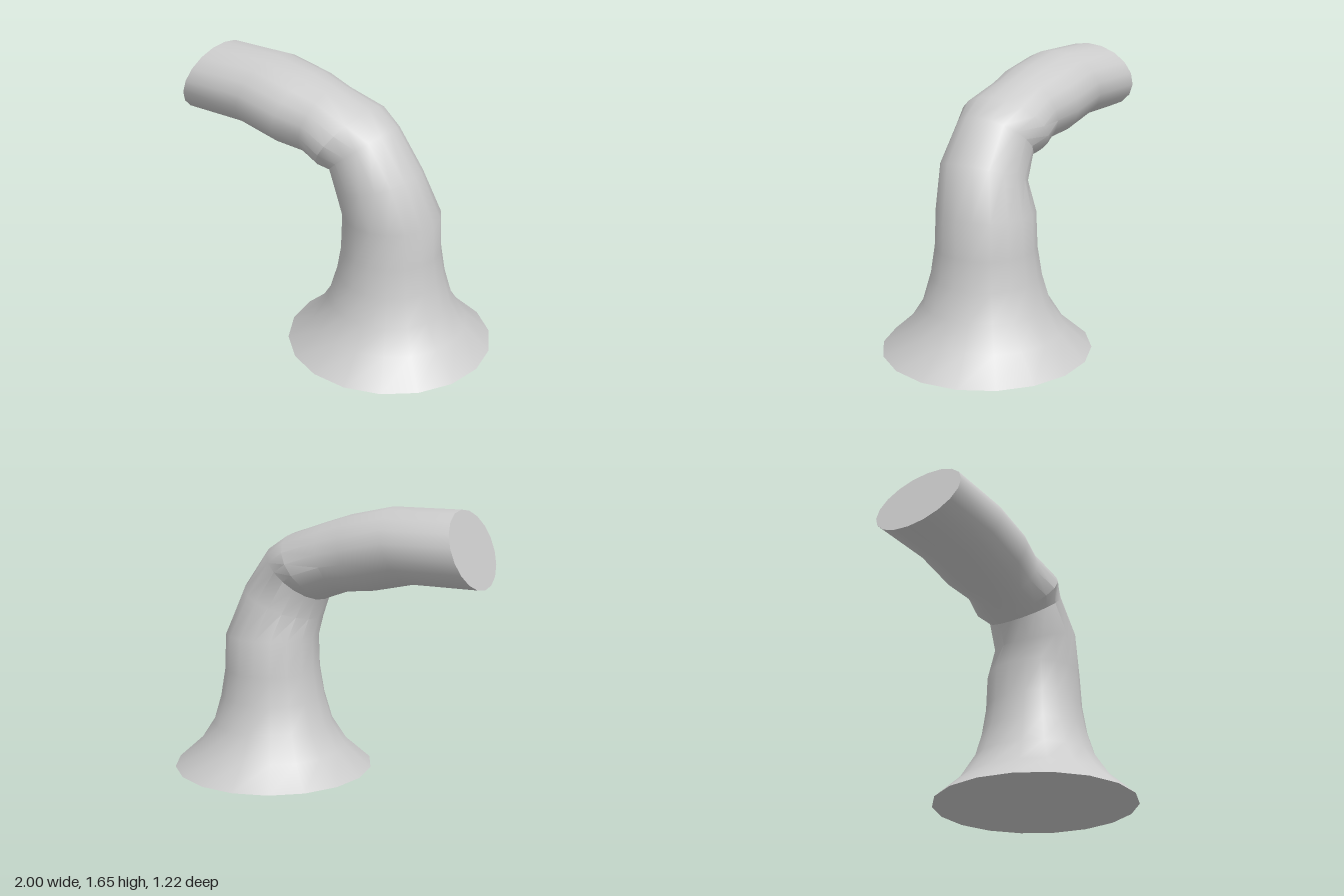
import * as THREE from 'three';
import { toCreasedNormals } from 'three/addons/utils/BufferGeometryUtils.js';

const SIDES = 18;

// Each section: inner edge x, y; outer edge x, y; centre z; half depth in z
const SECTIONS = [
  // flared foot
  [-0.245, 0, 0.995, 0, 0, 0.62],
  [-0.09, 0.135, 0.84, 0.14, 0, 0.467],
  [0, 0.28, 0.75, 0.28, 0, 0.375],
  [0.05, 0.45, 0.7, 0.45, 0, 0.325],
  [0.08, 0.62, 0.67, 0.62, 0, 0.3],
  [0.085, 0.83, 0.662, 0.84, 0, 0.29],
  // elbow
  [0.075, 0.95, 0.56, 1.13, 0.05, 0.257],
  [0.03, 1.07, 0.385, 1.37, 0.048, 0.24],
  [-0.02, 1.09, 0.24, 1.46, 0.047, 0.29],
  [-0.13, 1.13, 0, 1.54, 0.047, 0.256],
  // spout, cut at a slant
  [-0.31, 1.15, -0.16, 1.59, 0.047, 0.29],
  [-0.58, 1.21, -0.43, 1.647, 0.047, 0.29],
  [-1, 1.21, -0.845, 1.647, 0.047, 0.29],
];

// Loft elliptical rings through the sections and close both ends
function loft(sections) {
  const positions = [];
  const index = [];
  for (const [ix, iy, ox, oy, cz, depth] of sections) {
    for (let j = 0; j < SIDES; j++) {
      const angle = (j / SIDES) * Math.PI * 2;
      const t = (1 + Math.cos(angle)) / 2;
      positions.push(ix + (ox - ix) * t, iy + (oy - iy) * t, cz + depth * Math.sin(angle));
    }
  }
  const last = (sections.length - 1) * SIDES;
  for (let i = 0; i < last; i += SIDES) {
    for (let j = 0; j < SIDES; j++) {
      const k = (j + 1) % SIDES;
      const a = i + j, b = i + k, c = a + SIDES, d = b + SIDES;
      index.push(a, c, b, b, c, d);
    }
  }
  for (let j = 1; j < SIDES - 1; j++) {
    index.push(0, j, j + 1);
    index.push(last, last + j + 1, last + j);
  }
  const geometry = new THREE.BufferGeometry();
  geometry.setAttribute('position', new THREE.Float32BufferAttribute(positions, 3));
  geometry.setIndex(index);
  return toCreasedNormals(geometry, 0.6);
}

export function createModel() {
  const model = new THREE.Group();
  model.name = 'bentPipe';
  const pipe = new THREE.Mesh(loft(SECTIONS), new THREE.MeshStandardMaterial({ color: 0xcccccc }));
  pipe.name = 'flaredPipe';
  model.add(pipe);
  return model;
}
